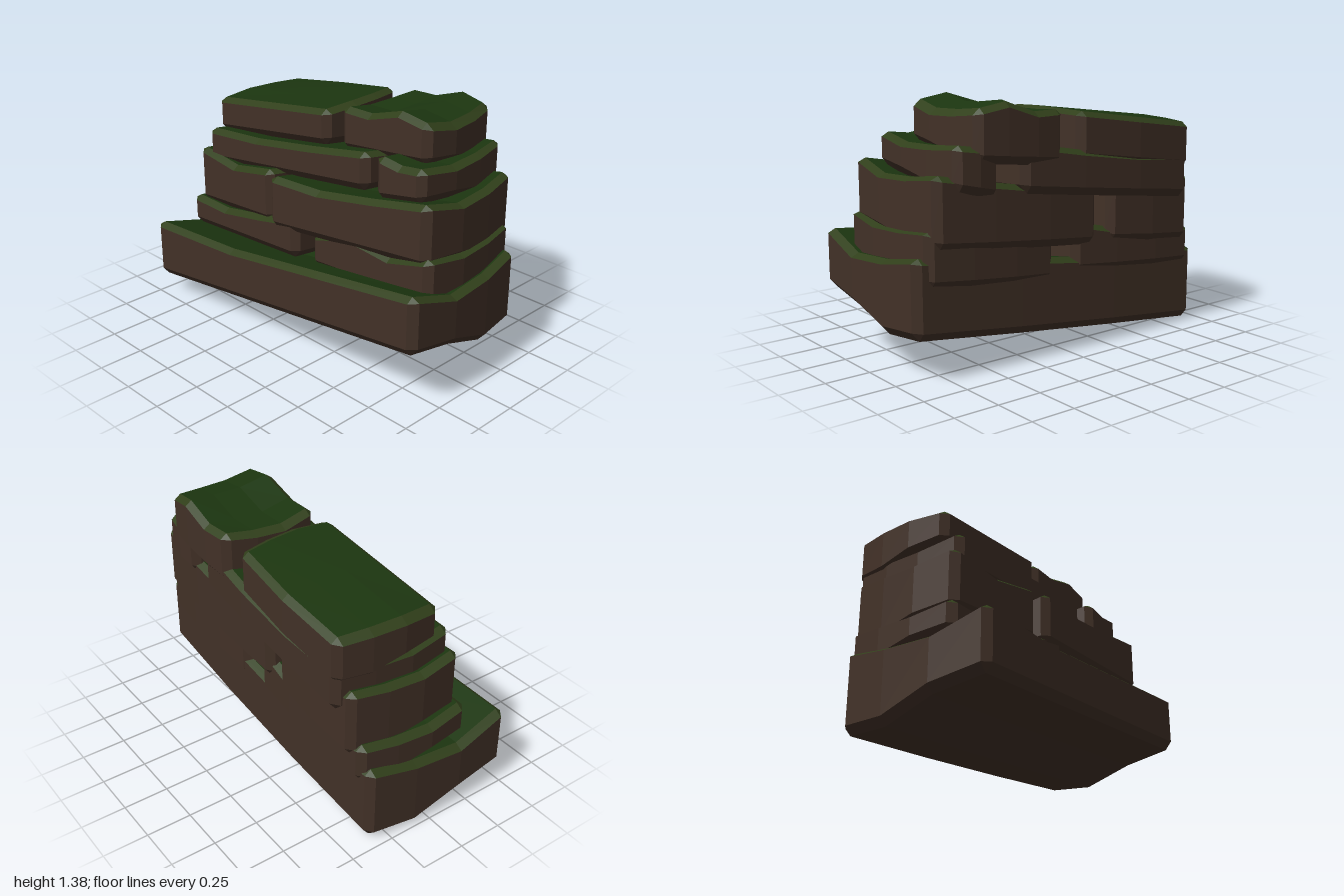
import * as THREE from 'three';

const { lerp } = THREE.MathUtils;
const material = (color) => new THREE.MeshStandardMaterial({ color, flatShading: true, roughness: 1 });
const mats = { stone: material(0x423127), moss: material(0x1c3610), rim: material(0x303f1a) };

// Cross-sections along x: each has six top and six bottom points, front to back.
// x, front, bottom: values at the right and left end; tops: evenly spaced heights.
// dip sinks the middle of the top, keel lowers the underside towards the back.
function sections(x, front, back, tops, bottom, dip, keel) {
  const b = 0.045;
  const count = tops.length - 1;
  const inset = b / (x[1] - x[0]);
  const inner = tops.slice(1, -1).map((_, i) => (i + 1) / count);
  return [0, inset, ...inner, 1 - inset, 1].map((t) => {
    const end = t === 0 || t === 1;
    const i = Math.min(Math.floor(t * count), count - 1);
    const top = lerp(tops[i], tops[i + 1], t * count - i);
    const low = lerp(bottom[0], bottom[1], t);
    const zf = lerp(front[0], front[1], t);
    const zb = back - 0.02 * Math.sin(Math.PI * t); // back bulges slightly
    const inF = zf - b * 0.8;
    const inB = zb + b * 0.8;
    const zs = [end ? inF : zf, inF, lerp(inF, inB, 0.35), lerp(inF, inB, 0.7), inB, end ? inB : zb];
    const line = (j) => Math.min(Math.max(j - 1, 0), 3);
    const chamfer = (j) => (end || j === 0 || j === 5 ? b : 0);
    // ends bow outwards and taper towards the back
    const px = (j) => lerp(x[0], x[1], t) + (1 - 2 * t) * [0.015, 0, 0.015, 0.045][line(j)];
    return {
      top: zs.map((z, j) => [px(j), top - dip * [0, 1, 0.8, 0.3][line(j)] - chamfer(j) * 0.6, z]),
      bottom: zs.map((z, j) => [px(j), low - keel * [0, 0.3, 1, 0.9][line(j)] + chamfer(j), z]),
    };
  });
}

function meshFromQuads(name, quads, mat) {
  const positions = quads.flatMap(([a, b, c, d]) => [a, b, c, a, c, d]).flat();
  const geometry = new THREE.BufferGeometry();
  geometry.setAttribute('position', new THREE.Float32BufferAttribute(positions, 3));
  geometry.computeVertexNormals();
  const mesh = new THREE.Mesh(geometry, mat);
  mesh.name = name;
  return mesh;
}

// One chamfered stone slab with a moss cap
function slab(name, x, front, back, tops, bottom, dip = 0.03, keel = 0.06) {
  const rings = sections(x, front, back, tops, bottom, dip, keel);
  const n = rings.length - 1;
  const stone = [], moss = [], rim = [];
  for (let i = 0; i < n; i++) {
    const p = rings[i], q = rings[i + 1];
    for (let j = 0; j < 5; j++) {
      // moss on top, with a paler rim along the chamfer
      const onRim = i === 0 || i === n - 1 || j === 0 || j === 4;
      (onRim ? rim : moss).push([p.top[j], q.top[j], q.top[j + 1], p.top[j + 1]]);
      // underside
      stone.push([p.bottom[j + 1], q.bottom[j + 1], q.bottom[j], p.bottom[j]]);
    }
    // front and back faces
    stone.push([p.bottom[0], q.bottom[0], q.top[0], p.top[0]]);
    stone.push([q.bottom[5], p.bottom[5], p.top[5], q.top[5]]);
  }
  // end faces
  const r = rings[0], l = rings[n];
  for (let j = 1; j < 4; j++) {
    stone.push([l.bottom[j], l.bottom[j + 1], l.top[j + 1], l.top[j]]);
    stone.push([r.bottom[j + 1], r.bottom[j], r.top[j], r.top[j + 1]]);
  }
  const group = new THREE.Group();
  group.name = name;
  group.add(
    meshFromQuads('stone', stone, mats.stone),
    meshFromQuads('mossTop', moss, mats.moss),
    meshFromQuads('mossRim', rim, mats.rim),
  );
  return group;
}

export function createModel() {
  const model = new THREE.Group();
  model.name = 'mossyRockLedge';
  // wide tilted base
  model.add(slab('baseSlab', [-1, 1], [0.51, 0.45], -0.37, [0.46, 0.49, 0.58, 0.67], [0.12, 0.35], 0.08, 0.13));
  // lower layer
  model.add(slab('lowerRightSlab', [-0.95, 0.02], [0.27, 0.3], -0.39, [0.58, 0.58, 0.64, 0.71], [0.4, 0.48]));
  model.add(slab('lowerLeftSlab', [0.06, 0.94], [0.26, 0.28], -0.39, [0.64, 0.73, 0.71, 0.79], [0.46, 0.54]));
  // middle layer
  model.add(slab('middleRightSlab', [-0.9, -0.2], [0.24, 0.28], -0.42, [0.89, 0.86, 0.93], [0.55, 0.62]));
  model.add(slab('middleLeftSlab', [-0.21, 0.91], [0.32, 0.27], -0.42, [0.92, 0.93, 0.99, 1.06], [0.62, 0.73], 0.05));
  // upper layer
  model.add(slab('upperRightSlab', [-0.84, 0.42], [0.22, 0.18], -0.47, [1.01, 1.04, 1.1, 1.17], [0.81, 0.96]));
  model.add(slab('upperLeftSlab', [0.46, 0.81], [0.2, 0.2], -0.45, [1.19, 1.17, 1.19], [0.95, 1.01]));
  // top layer
  model.add(slab('topRightSlab', [-0.85, 0.06], [0.13, 0.1], -0.47, [1.17, 1.23, 1.29], [0.97, 1.09], -0.01));
  model.add(slab('topLeftSlab', [0.08, 0.71], [0.06, 0.05], -0.48, [1.32, 1.32, 1.38, 1.35], [1.08, 1.14]));
  return model;
}
